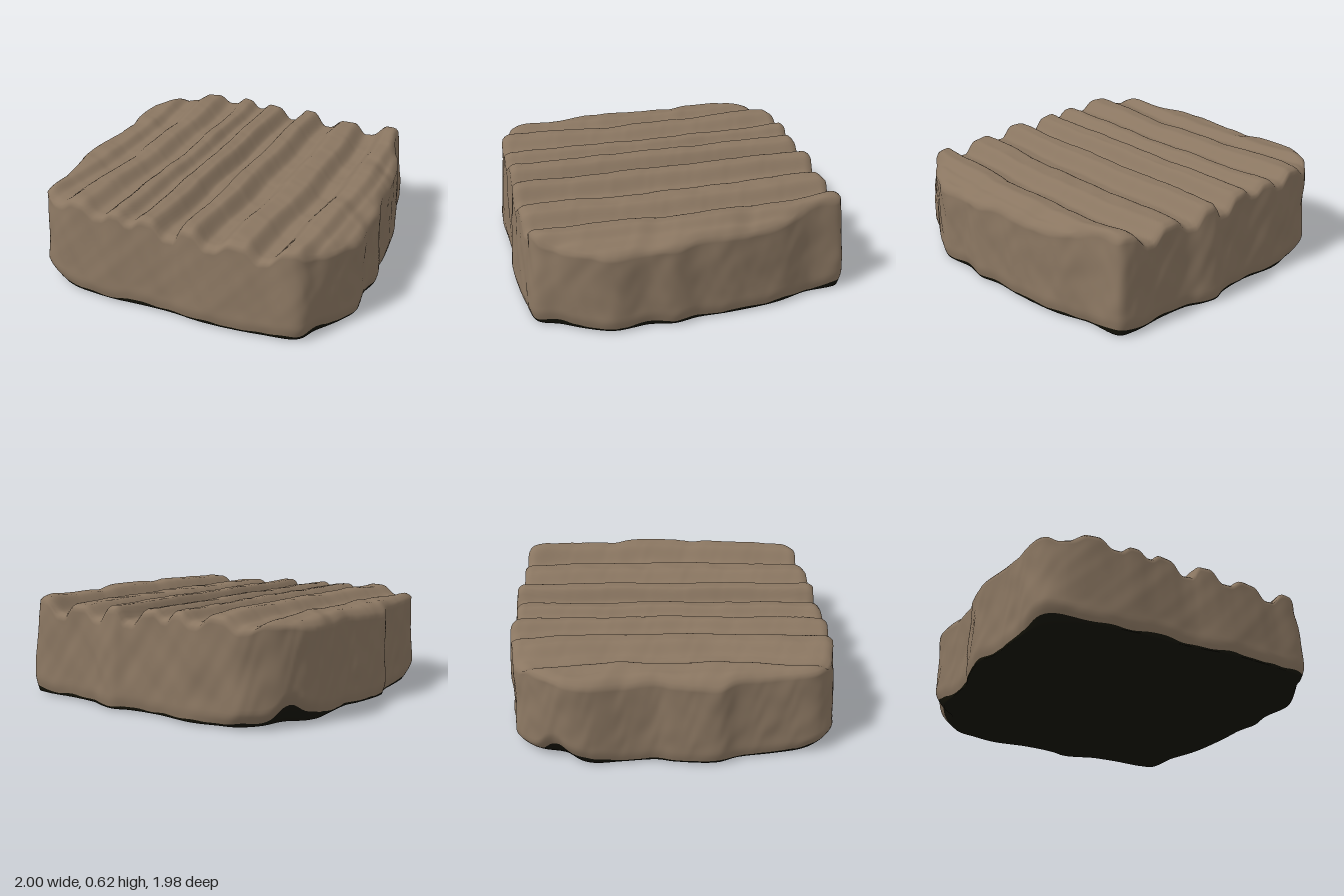
import * as THREE from 'three';

// Plan outline [x, z], starting at the back left and running along the back to +x
const OUTLINE = [
  [-0.62, -0.93], [-0.45, -0.96], [-0.2, -0.94], [0, -0.96], [0.1, -0.995], [0.2, -0.98], [0.3, -0.945],
  [0.5, -0.935], [0.72, -0.95], [0.81, -0.93], [0.84, -0.7], [0.91, -0.5], [0.955, -0.2], [0.965, 0],
  [1.0, 0.15], [0.98, 0.3], [1.0, 0.5], [0.945, 0.65], [0.87, 0.8], [0.81, 0.925], [0.6, 0.965],
  [0.27, 0.995], [0, 0.98], [-0.4, 0.995], [-0.8, 0.945], [-0.89, 0.86], [-0.925, 0.6], [-0.955, 0.37],
  [-1.0, 0.25], [-0.98, 0], [-0.955, -0.1], [-0.97, -0.3], [-1.0, -0.5], [-0.955, -0.68],
  [-0.85, -0.83], [-0.75, -0.91],
];

// Ridge heights across the top [x, y]; each ridge falls steeply on its +x side
const RIDGES = [
  [-1.05, 0.52], [-0.9, 0.57], [-0.82, 0.58], [-0.75, 0.545], [-0.7, 0.55], [-0.6, 0.605], [-0.54, 0.605],
  [-0.45, 0.548], [-0.41, 0.55], [-0.34, 0.597], [-0.305, 0.595], [-0.245, 0.55], [-0.22, 0.55],
  [-0.16, 0.592], [-0.1, 0.585], [-0.02, 0.505], [0.04, 0.508], [0.1, 0.588], [0.16, 0.585], [0.25, 0.505],
  [0.3, 0.508], [0.4, 0.568], [0.49, 0.565], [0.58, 0.49], [0.63, 0.495], [0.74, 0.58], [0.8, 0.585],
  [0.87, 0.54], [0.94, 0.515], [1.05, 0.47],
];

// Dark patches climbing the foot of the sides [x, z, rise, undercut, radius]
const PATCHES = [
  [-0.86, 0.9, 0.035, 0.045, 0.13], [0.85, 0.85, 0.022, 0.015, 0.12], [0.82, -0.92, 0.025, 0.01, 0.13],
  [-0.95, -0.7, 0.08, 0.06, 0.09], [-0.98, -0.56, 0.045, 0.03, 0.14], [-0.82, -0.84, 0.01, 0.04, 0.14],
  [-0.2, 0.98, 0.012, 0.005, 0.1], [0.98, 0.25, 0.012, 0.005, 0.12],
];

const AROUND = 400;

const noise = (x, y, z) =>
  (Math.sin(7.1 * x + 2.3 * Math.sin(5.3 * z + 3 * y) + 4 * y) +
    Math.sin(9.7 * z + 1.9 * Math.sin(6.1 * x - 8 * y) + 1.3) +
    0.6 * Math.sin(17 * x - 13 * z + 15 * y + 2 * Math.sin(11 * z))) / 2.6;

const bell = (dx, dz, r) => Math.exp(-(dx * dx + dz * dz) / (r * r));

function ridgeHeight(x, z) {
  const bow = 0.07 * Math.abs(x) * (Math.cos(1.8 * z) - 0.7);
  const px = THREE.MathUtils.clamp(x - bow + 0.006 * Math.sin(9 * z + 6 * x), -1.04, 1.04);
  const i = RIDGES.findIndex((p) => p[0] > px);
  const [x0, y0] = RIDGES[i - 1], [x1, y1] = RIDGES[i];
  const y = y0 + (y1 - y0) * THREE.MathUtils.smoothstep(px, x0, x1);
  const rough = 0.005 + 0.011 * THREE.MathUtils.smoothstep(Math.abs(x), 0.5, 0.95);
  return y - 0.018 * z + rough * noise(x, 0.3, z) + 0.003 * noise(2.1 * x, 0.7, 2.3 * z);
}

const footHeight = (x, z) => PATCHES.reduce(
  (h, [px, pz, rise, , r]) => h + rise * bell(x - px, z - pz, r),
  0.024 + 0.008 * noise(2 * x, 0, 2 * z));

const undercut = (x, z) => PATCHES.reduce(
  (u, [px, pz, , cut, r]) => u + cut * bell(x - px, z - pz, 1.4 * r), 0.022);

// Inward lean at the rim: strongest along the front, the back bulge and the back corner at +x
function lean(p) {
  const facing = THREE.MathUtils.smoothstep(Math.abs(p.z) - Math.abs(p.x), -0.15, 0.15);
  const ends = p.z > 0 ? 0.035 : 0.012 + 0.035 * Math.exp(-(((p.x - 0.12) / 0.15) ** 2));
  return 0.008 + (ends - 0.008) * facing + 0.035 * bell(p.x - 0.83, p.z + 0.85, 0.2);
}

// Point on the weathered side at height y, below a rim at height top
function sidePoint(p, y, top) {
  const low = Math.max(0, 1 - y / (0.05 + 1.3 * footHeight(p.x, p.z))), t = y / top;
  const rough = 0.006 * (1 + noise(1.4 * p.x, 1.2 * y, 1.4 * p.z)) + 0.004 * noise(2.7 * p.x, 2 * y, 2.9 * p.z);
  const s = 1 - undercut(p.x, p.z) * low ** 1.5 - lean(p) * t ** 1.4 - rough * Math.min(1, 4 * t * (1.2 - t));
  return [p.x * s, y, p.z * s];
}

// Surface joining closed rings of points, listed from the bottom centre to the top centre
function ringSurface(rings) {
  const index = [];
  for (let r = 0; r < rings.length - 1; r++) {
    for (let i = 0; i < AROUND; i++) {
      const j = (i + 1) % AROUND;
      const a = r * AROUND + i, b = r * AROUND + j, c = a + AROUND, d = b + AROUND;
      index.push(a, c, b, b, c, d);
    }
  }
  const geometry = new THREE.BufferGeometry();
  geometry.setAttribute('position', new THREE.Float32BufferAttribute(rings.flat(2), 3));
  geometry.setIndex(index);
  geometry.computeVertexNormals();
  return geometry;
}

export function createModel() {
  const stone = new THREE.MeshStandardMaterial({ color: 0x8a7661 });
  stone.name = 'brown stone';
  const dark = new THREE.MeshStandardMaterial({ color: 0x151408 });
  dark.name = 'dark underside';

  const curve = new THREE.CatmullRomCurve3(OUTLINE.map(([x, z]) => new THREE.Vector3(x, 0, z)), true);
  const outline = curve.getSpacedPoints(AROUND).slice(0, AROUND);
  const rimHeight = (p) => ridgeHeight(p.x * (1 - lean(p)), p.z * (1 - lean(p))) - 0.025;
  const ring = (fn) => outline.map(fn);

  // Slightly domed underside with its ragged foot
  const EDGE = 0.01;
  const base = [0, 0.3, 0.6, 0.9].map((s) => ring((p) => {
    const [x, , z] = sidePoint(p, EDGE, 0.55);
    return [x * s, EDGE * s ** 4, z * s];
  }));
  for (const t of [0, 0.35, 0.7, 1]) {
    base.push(ring((p) => sidePoint(p, EDGE + t * (footHeight(p.x, p.z) - EDGE), rimHeight(p))));
  }

  // Rough side walls
  const walls = [];
  for (let k = 0; k <= 24; k++) {
    walls.push(ring((p) => {
      const foot = footHeight(p.x, p.z), top = rimHeight(p);
      return sidePoint(p, foot + (top - foot) * k / 24, top);
    }));
  }

  // Ridged top, rounded off at the rim
  const top = [];
  for (let k = 1; k <= 80; k++) {
    const s = 1 - k / 80;
    top.push(ring((p) => {
      const [ex, , ez] = sidePoint(p, rimHeight(p), rimHeight(p));
      const x = ex * s, z = ez * s;
      return [x, ridgeHeight(x, z) - 0.025 * Math.max(0, 1 - (1 - s) / 0.05) ** 2, z];
    }));
  }

  const group = new THREE.Group();
  group.name = 'ridgedStoneSlab';
  const add = (name, rings, material) => {
    const mesh = new THREE.Mesh(ringSurface(rings), material);
    mesh.name = name;
    group.add(mesh);
  };
  add('underside', base, dark);
  add('stoneBody', [...walls, ...top], stone);
  return group;
}
